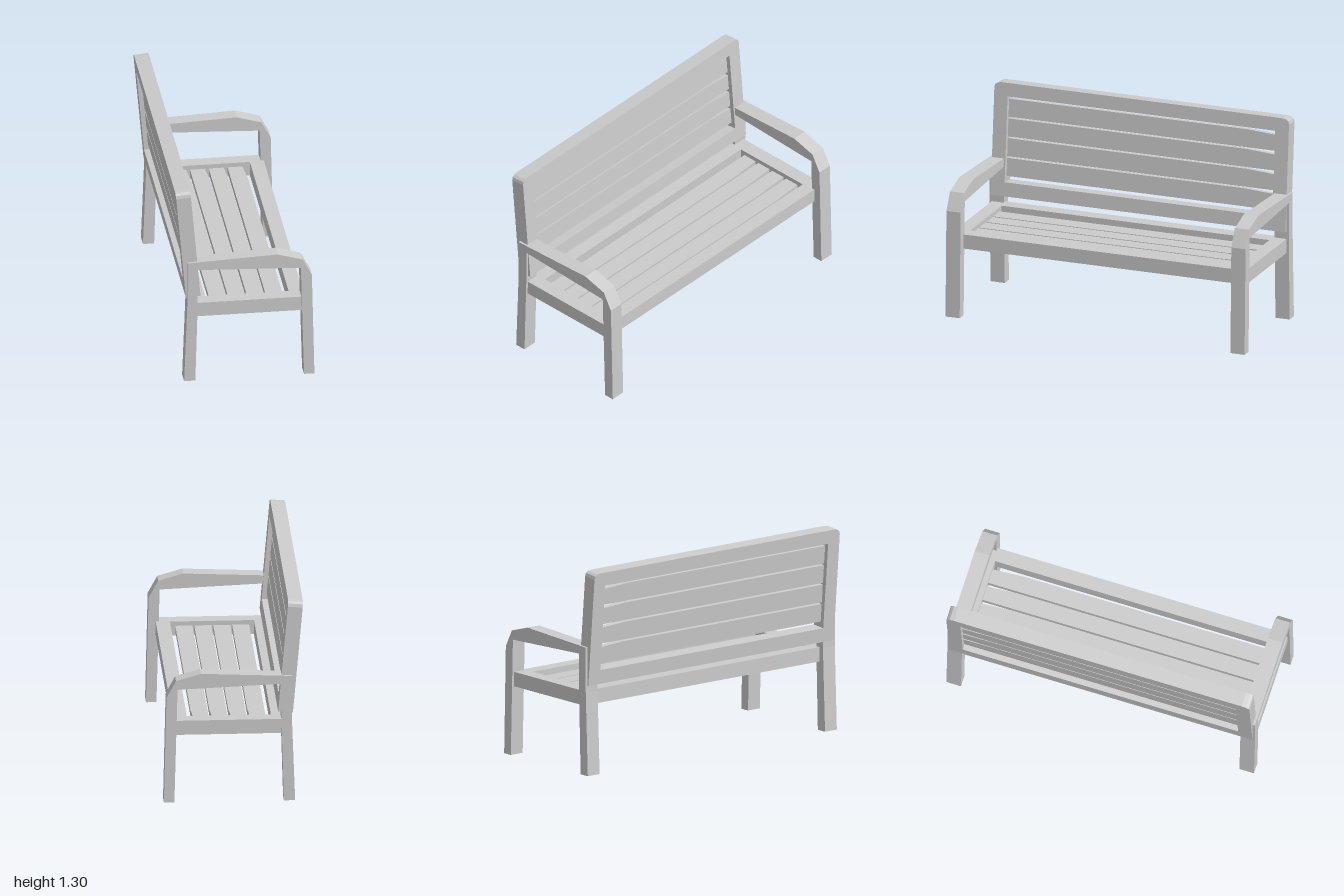
import * as THREE from 'three';

const material = new THREE.MeshStandardMaterial({ color: 0xcccccc, flatShading: true });

function polygon(points) {
  return new THREE.Shape(points.map(([x, y]) => new THREE.Vector2(x, y)));
}

// Extrude a shape, centred on its thickness
function slab(name, shape, depth) {
  const geometry = new THREE.ExtrudeGeometry(shape, { depth, bevelEnabled: false, curveSegments: 3 });
  geometry.translate(0, 0, -depth / 2);
  const mesh = new THREE.Mesh(geometry, material);
  mesh.name = name;
  return mesh;
}

// Upright rectangular frame with four recessed slats; thickness along x, length along z
function slattedPanel(name, { height, open, first, pitch, slat, round }) {
  const half = 0.985, inner = 0.895;
  const panel = new THREE.Group();
  panel.name = name;
  const upright = new THREE.Group();
  upright.rotation.y = Math.PI / 2;
  panel.add(upright);

  const outline = new THREE.Shape();
  outline.moveTo(-half, 0);
  outline.lineTo(half, 0);
  if (round) {
    outline.lineTo(half, height - 0.035);
    outline.quadraticCurveTo(half, height, half - 0.05, height);
    outline.lineTo(-half + 0.05, height);
    outline.quadraticCurveTo(-half, height, -half, height - 0.035);
  } else {
    outline.lineTo(half, height);
    outline.lineTo(-half, height);
  }
  outline.closePath();
  outline.holes.push(polygon([[-inner, open[0]], [-inner, open[1]], [inner, open[1]], [inner, open[0]]]));
  upright.add(slab(name + 'Frame', outline, 0.092));

  // Slats narrow slightly towards one end
  for (let i = 0; i < 4; i++) {
    const lo = first + i * pitch, hi = lo + slat;
    upright.add(slab(name + 'Slat', polygon([
      [-0.9, lo], [0.9, lo], [0.9, hi - 0.013], [0.85, hi - 0.01], [0.7, hi], [-0.9, hi],
    ]), 0.036));
  }
  return panel;
}

export function createModel() {
  const bench = new THREE.Group();
  bench.name = 'bench';

  // Legs and armrest at each end, cut as one profile
  const profile = [
    [-0.385, 0], [-0.315, 0], [-0.3, 0.53], [-0.3, 0.765], [0.345, 0.738], [0.365, 0],
    [0.43, 0], [0.414, 0.685], [0.355, 0.795], [0.2, 0.84], [-0.365, 0.815], [-0.365, 0.53],
  ];
  for (const side of [-1, 1]) {
    const end = slab(side > 0 ? 'leftEndLegsAndArmrest' : 'rightEndLegsAndArmrest', polygon(profile), 0.095);
    end.position.z = side * 0.9525;
    bench.add(end);
  }

  // Seat lies flat
  const seat = slattedPanel('seat', {
    height: 0.7, open: [0.09, 0.612], first: 0.12, pitch: 0.1175, slat: 0.106, round: false,
  });
  seat.position.set(-0.33, 0.4835, 0);
  seat.rotation.z = -Math.PI / 2;
  bench.add(seat);

  // Backrest leans backwards
  const back = slattedPanel('backrest', {
    height: 0.724, open: [0.09, 0.638], first: 0.125, pitch: 0.126, slat: 0.115, round: true,
  });
  back.position.set(-0.326, 0.574, 0);
  back.rotation.z = 0.088;
  bench.add(back);

  return bench;
}
